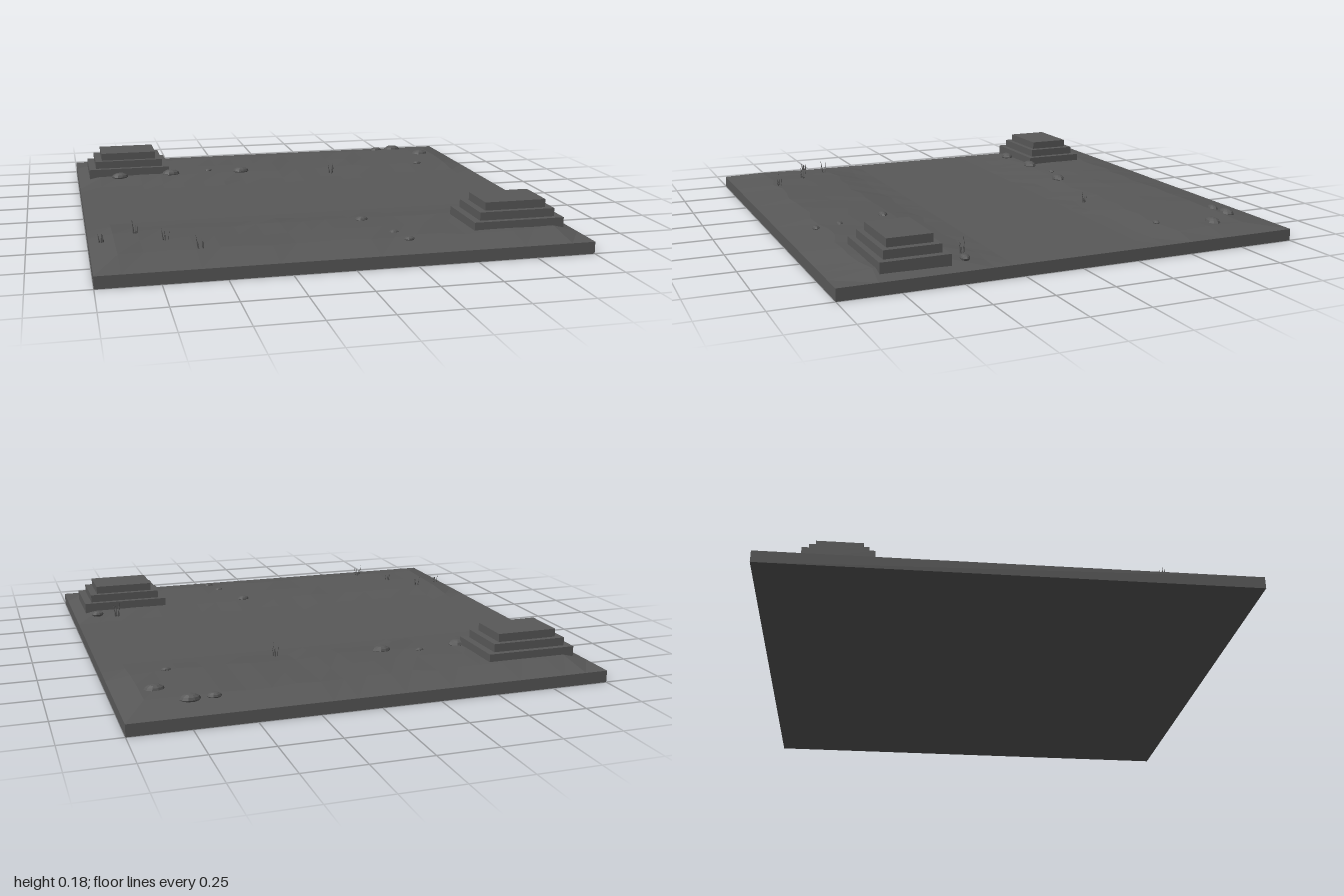
import * as THREE from 'three';

export function createModel() {
  const model = new THREE.Group();
  const stone = new THREE.MeshStandardMaterial({ color: 0x585858, flatShading: true });
  stone.name = 'dark grey stone';

  let seed = 7;
  const rand = () => (seed = (seed * 16807) % 2147483647) / 2147483647;

  const add = (name, geometry, x, y, z, parent = model) => {
    const mesh = new THREE.Mesh(geometry, stone);
    mesh.name = name;
    mesh.position.set(x, y, z);
    parent.add(mesh);
    return mesh;
  };

  // Ground slab
  add('groundSlab', new THREE.BoxGeometry(2, 0.05, 2), 0, 0.025, 0);

  // Raised banks: rows of [z, height] run from the channel to the outer edge
  const rows = [[0.3, 0.05], [0.38, 0.055], [0.5, 0.07], [0.66, 0.074], [0.84, 0.075], [1, 0.05]];
  const columns = 20;
  function bank(side) {
    const geometry = new THREE.PlaneGeometry(2, 1, columns, rows.length - 1);
    const p = geometry.attributes.position;
    for (let i = 0; i < p.count; i++) {
      const column = i % (columns + 1);
      const r = Math.floor(i / (columns + 1));
      const [z, y] = rows[side > 0 ? r : rows.length - 1 - r];
      const rim = r === 0 || r === rows.length - 1;
      const end = column === 0 || column === columns;
      const shift = rim || end ? 0 : (rand() - 0.5) * 0.04;
      const bump = rim || end ? 0 : (rand() - 0.5) * 0.004;
      p.setXYZ(i, p.getX(i), end ? 0.0505 : y + 0.0005 + bump, side * z + shift);
    }
    geometry.computeVertexNormals();
    return geometry;
  }
  add('frontBank', bank(1), 0, 0, 0);
  add('backBank', bank(-1), 0, 0, 0);

  // Two stepped platforms: [width, depth, bottom, top]
  const tiers = [[0.395, 0.285, 0.05, 0.108], [0.33, 0.235, 0.108, 0.143], [0.267, 0.187, 0.143, 0.178]];
  for (const side of [-1, 1]) {
    const platform = new THREE.Group();
    platform.name = side < 0 ? 'backSteppedPlatform' : 'frontSteppedPlatform';
    platform.position.set(side * 0.75, 0, side * 0.675);
    for (const [w, d, low, high] of tiers) {
      add('platformTier', new THREE.BoxGeometry(w, high - low, d), 0, (low + high) / 2, 0, platform);
    }
    model.add(platform);
  }

  // Flattened rocks: x, z, radius
  const rocks = [
    [0.635, -0.86, 0.03], [0.73, -0.865, 0.042], [0.84, -0.715, 0.042], [0.75, -0.49, 0.02],
    [-0.19, -0.51, 0.04], [-0.35, -0.555, 0.018], [-0.545, -0.525, 0.043], [-0.8, -0.51, 0.04],
    [0.15, 0.535, 0.028], [0.225, 0.755, 0.02], [0.255, 0.865, 0.022], [0.9, 0.46, 0.028],
  ];
  for (const [x, z, r] of rocks) {
    const rock = add('rock', new THREE.SphereGeometry(r, 10, 6), x, 0.073, z);
    rock.scale.set(1, 0.5, 0.68);
  }

  // Grass tufts: x, z, tip height
  const tufts = [
    [0.26, -0.41, 0.118], [-0.95, 0.6, 0.105], [-0.81, 0.53, 0.138],
    [-0.7, 0.67, 0.13], [-0.58, 0.82, 0.138], [0.81, 0.435, 0.138],
  ];
  for (const [x, z, top] of tufts) {
    const tuft = new THREE.Group();
    tuft.name = 'grassTuft';
    tuft.position.set(x, 0.06, z);
    for (let i = 0; i < 4; i++) {
      const h = (top - 0.06) * (1 - i * 0.12);
      const blade = new THREE.ConeGeometry(0.004, h, 4).translate(0, h / 2, 0);
      const angle = i * 1.8 + x * 5;
      const mesh = add('grassBlade', blade, Math.cos(angle) * 0.008, 0, Math.sin(angle) * 0.006, tuft);
      mesh.rotation.set(Math.sin(angle) * 0.15, 0, -Math.cos(angle) * 0.15);
    }
    model.add(tuft);
  }
  return model;
}
